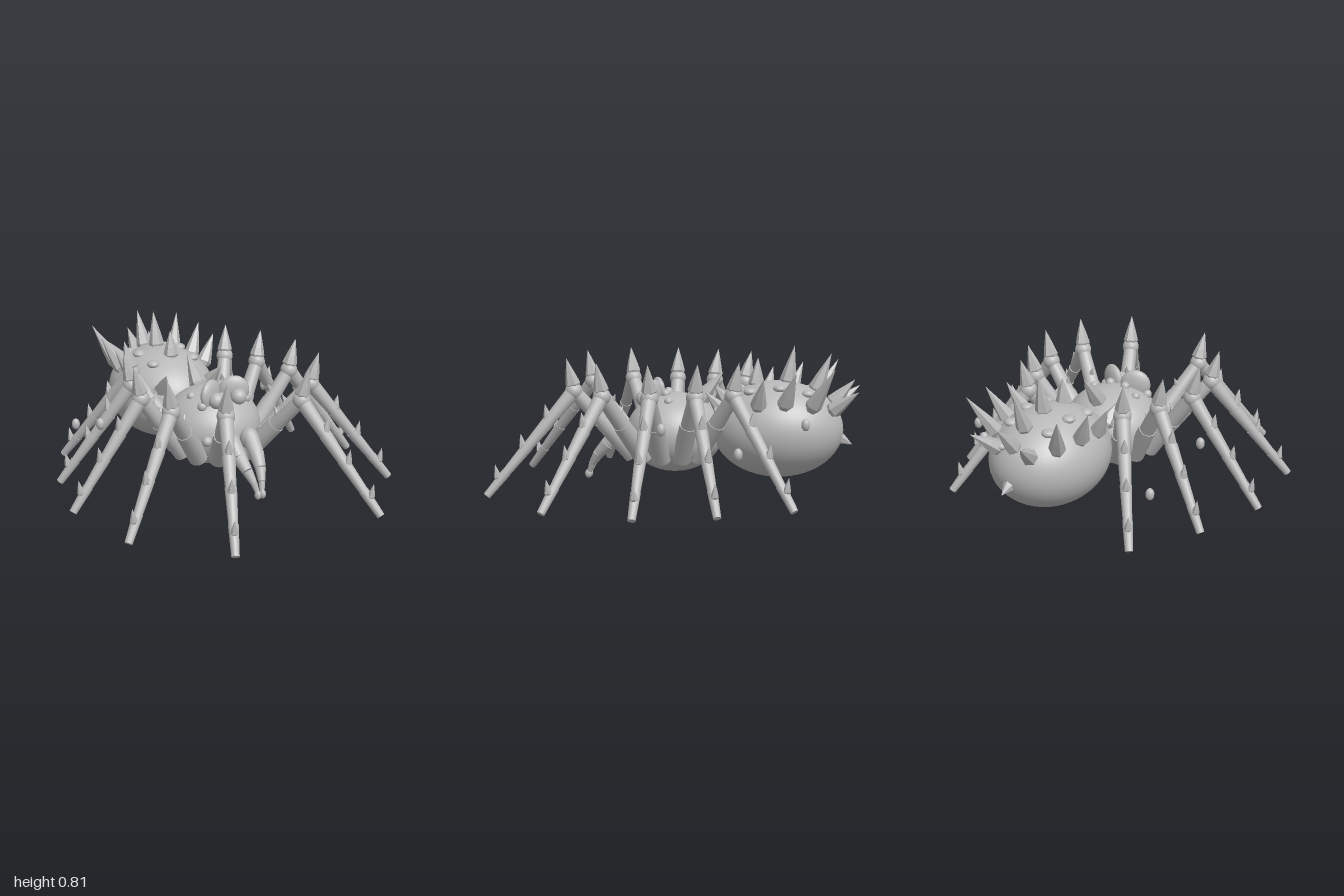
import * as THREE from 'three';

const V = (x, y, z) => new THREE.Vector3(x, y, z);
const UP = V(0, 1, 0);

export function createModel() {
  const model = new THREE.Group();
  model.name = 'spider';
  const grey = new THREE.MeshStandardMaterial({ color: 0xb8b8b8 });
  grey.name = 'chitin grey';
  const facet = grey;

  const add = (name, geo, parent = model) => {
    const m = new THREE.Mesh(geo, facet);
    m.name = name;
    parent.add(m);
    return m;
  };
  const ball = (name, p, rx, ry = rx, rz = rx, parent = model) => {
    const m = add(name, new THREE.SphereGeometry(1, rx > 0.2 ? 48 : 18, rx > 0.2 ? 32 : 12), parent);
    m.scale.set(rx, ry, rz);
    m.position.copy(p);
    return m;
  };
  // Tapered rod between two points
  const rod = (name, a, b, ra, rb, parent = model) => {
    const d = b.clone().sub(a);
    const m = add(name, new THREE.CylinderGeometry(rb, ra, d.length(), 14), parent);
    m.position.copy(a).addScaledVector(d, 0.5);
    m.quaternion.setFromUnitVectors(UP, d.normalize());
    return m;
  };
  // Six-sided thorn with a broad foot and a slim point
  const thorn = (name, a, b, r, parent = model) => {
    const d = b.clone().sub(a), h = d.length();
    const pts = [[r * 0.75, 0], [r, h * 0.12], [r * 0.72, h * 0.4], [r * 0.34, h * 0.72], [0, h]];
    const geo = new THREE.LatheGeometry(pts.map(([x, y]) => new THREE.Vector2(x, y)), 6).toNonIndexed();
    geo.computeVertexNormals();
    const m = add(name, geo, parent);
    m.position.copy(a);
    m.quaternion.setFromUnitVectors(UP, d.normalize());
    return m;
  };

  // Body
  ball('thorax', V(0, 0.32, 0.02), 0.27, 0.22, 0.27);
  const abdomen = { c: V(0, 0.35, -0.55), r: V(0.3, 0.265, 0.36) };
  ball('abdomen', abdomen.c, 0.3, 0.265, 0.36);
  const backY = (x, z) => abdomen.c.y + abdomen.r.y * Math.sqrt(Math.max(0,
    1 - (x / abdomen.r.x) ** 2 - ((z - abdomen.c.z) / abdomen.r.z) ** 2));

  // Spines along the middle of the back
  thorn('thoraxSpine', V(0, 0.49, -0.11), V(0, 0.66, -0.25), 0.05);
  [[-0.43, 0.74, -0.44], [-0.6, 0.81, -0.64], [-0.75, 0.77, -0.84], [-0.84, 0.63, -0.97]]
    .forEach(([z, ty, tz]) => thorn('backSpine', V(0, backY(0, z) - 0.02, z), V(0, ty, tz), 0.045));
  thorn('spinneret', V(0, 0.31, -0.88), V(0, 0.27, -0.96), 0.035);

  for (const s of [1, -1]) {
    // Spines on the flanks: base x, base z, tip
    [[0.23, -0.46, 0.33, 0.66, -0.5], [0.23, -0.6, 0.33, 0.69, -0.67],
      [0.19, -0.74, 0.29, 0.71, -0.87], [0.1, -0.84, 0.16, 0.58, -0.995],
      [0.15, -0.28, 0.18, 0.57, -0.17]].forEach(([x, z, tx, ty, tz]) =>
      thorn('flankSpine', V(s * x, backY(x, z) - 0.02, z), V(s * tx, ty, tz), 0.045));
    // Warts on the back
    [[0.13, -0.41], [0.135, -0.57], [0.12, -0.72], [0.08, -0.845]].forEach(([x, z]) =>
      ball('wart', V(s * x, backY(x, z), z), 0.036, 0.022, 0.036));

    // Brow discs and eyes
    const brow = ball('brow', V(s * 0.075, 0.53, 0.13), 0.085, 0.085, 0.035);
    brow.rotation.y = s * -0.45;
    ball('frontEye', V(s * 0.07, 0.51, 0.185), 0.045);
    ball('sideEye', V(s * 0.14, 0.48, 0.15), 0.027);
    ball('crownEye', V(s * 0.05, 0.535, 0.065), 0.026);
    ball('outerEye', V(s * 0.14, 0.505, 0.035), 0.024);

    // Jaw, curved fang and palp
    ball('jaw', V(s * 0.06, 0.31, 0.31), 0.05, 0.06, 0.055);
    const path = [[0.06, 0.32, 0.32, 0.046], [0.055, 0.25, 0.39, 0.042], [0.042, 0.19, 0.45, 0.03],
      [0.025, 0.13, 0.49, 0.019], [0.015, 0.08, 0.51, 0.013]];
    for (let i = 1; i < path.length; i++) {
      const [a, b] = [path[i - 1], path[i]];
      rod('fang', V(s * a[0], a[1], a[2]), V(s * b[0], b[1], b[2]), a[3], b[3]);
    }
    ball('fangTip', V(s * 0.015, 0.068, 0.515), 0.017, 0.026, 0.02);
    ball('palp', V(s * 0.115, 0.25, 0.27), 0.045, 0.06, 0.05);
    ball('cheek', V(s * 0.175, 0.32, 0.26), 0.028);

    // Five legs per side: knee x, z and foot x, z
    [[0.235, 0.54, 0.45, 0.975], [0.44, 0.34, 0.825, 0.575], [0.476, 0.08, 0.9, 0.095],
      [0.41, -0.15, 0.785, -0.315], [0.31, -0.34, 0.59, -0.685]].forEach(([kx, kz, fx, fz], i) => {
      const leg = new THREE.Group();
      leg.name = `${s > 0 ? 'left' : 'right'}Leg${i + 1}`;
      model.add(leg);
      const out = V(s * kx, 0, kz - 0.05).normalize();
      const root = V(0, 0.2, 0.05).addScaledVector(out, 0.21);
      const knee = V(s * kx, 0.565, kz), foot = V(s * fx, 0.015, fz);
      const thigh = t => root.clone().lerp(knee, t), shin = t => knee.clone().lerp(foot, t);
      rod('upperLeg', root, thigh(0.55), 0.055, 0.047, leg);
      rod('upperLegEnd', thigh(0.53), knee, 0.043, 0.037, leg);
      ball('knee', knee, 0.048, 0.048, 0.048, leg);
      thorn('kneeSpine', knee.clone().add(V(0, 0.02, 0)),
        knee.clone().addScaledVector(out, 0.04).add(V(0, 0.18, 0)), 0.042, leg);
      thorn('thighSpine', thigh(0.6).add(V(0, 0.02, 0)),
        thigh(0.6).addScaledVector(out, -0.03).add(V(0, 0.085, 0)), 0.02, leg);
      // Lower leg in stepped bands
      [0, 0.3, 0.52, 0.78, 1].forEach((t, j, a) => {
        if (j) rod('lowerLegBand', shin(a[j - 1]), shin(t), 0.041 - 0.018 * a[j - 1], 0.037 - 0.016 * t, leg);
      });
      [0.27, 0.55, 0.84].forEach(t => {
        const p = shin(t).addScaledVector(out, 0.015);
        thorn('shinSpine', p, p.clone().addScaledVector(out, 0.015).add(V(0, 0.085, 0)), 0.026 - 0.006 * t, leg);
      });
    });
  }

  // Loose droplets around the body
  [[0.31, 0.42, -0.72], [0.63, 0.31, -0.4], [0.59, 0.42, 0], [-0.635, 0.4, -0.09], [-0.59, 0.26, -0.5]]
    .forEach(p => ball('droplet', V(...p), 0.023, 0.033, 0.023));
  return model;
}
